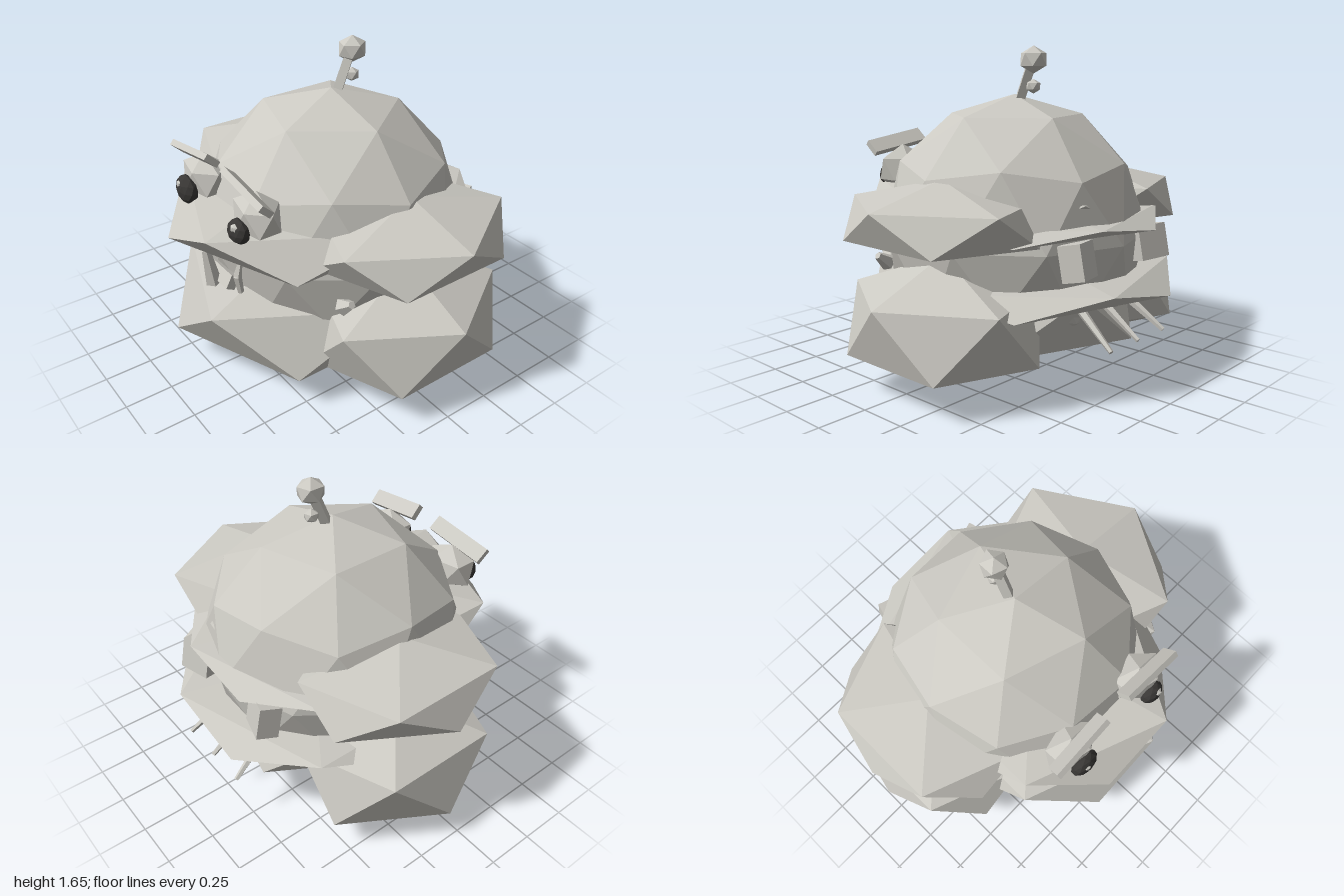
import * as THREE from 'three';

const clay = new THREE.MeshStandardMaterial({ color: 0xcbc9c2, flatShading: true });
clay.name = 'warm grey';
const dark = new THREE.MeshStandardMaterial({ color: 0x393735, flatShading: true });
dark.name = 'pupil black';

export function createModel() {
  const model = new THREE.Group();

  const add = (name, geometry, pos, material = clay, rot = [0, 0, 0]) => {
    const mesh = new THREE.Mesh(geometry, material);
    mesh.name = name;
    mesh.position.set(...pos);
    mesh.rotation.set(...rot);
    model.add(mesh);
    return mesh;
  };

  // Faceted ball with a vertex at the top and an upper ring corner towards +x
  const ball = (name, pos, [rx, ry, rz], detail = 0, material = clay) => {
    const g = new THREE.IcosahedronGeometry(1, detail);
    g.rotateX(-Math.atan((1 + Math.sqrt(5)) / 2));
    g.rotateY(Math.PI / 2);
    g.scale(rx / 0.8944, ry, rz / 0.8944);
    return add(name, g, pos, material);
  };

  // Tapered rod between two points
  const rod = (name, from, to, r0, r1, sides) => {
    const a = new THREE.Vector3(...from), b = new THREE.Vector3(...to);
    const mid = a.clone().add(b).multiplyScalar(0.5);
    const mesh = add(name, new THREE.CylinderGeometry(r1, r0, a.distanceTo(b), sides), mid.toArray());
    mesh.quaternion.setFromUnitVectors(new THREE.Vector3(0, 1, 0), b.sub(a).normalize());
    return mesh;
  };

  // Round body
  ball('body', [0, 0.71, -0.02], [0.626, 0.7, 0.626], 1);

  // Upper and lower jaws: a lip in front and a cheek on each side
  for (const [row, y, ry] of [['lower', 0.332, 0.332], ['upper', 0.833, 0.196]]) {
    ball(row + 'Lip', [0, y, 0.1], [0.65, ry, 0.78]);
    for (const s of [-1, 1]) ball(row + 'Cheek', [s * 0.565, y, -0.07], [0.435, ry, 0.52]);
  }

  // Flat rims at the back
  ball('lowerBackRim', [0, 0.485, -0.16], [0.77, 0.1, 0.716]);
  ball('upperBackRim', [0, 0.79, -0.16], [0.71, 0.066, 0.627]);

  // Blocks and spikes at the back
  for (const s of [-1, 1]) {
    add('backBlock', new THREE.BoxGeometry(0.17, 0.17, 0.11), [s * 0.285, 0.68, -0.665], clay, [0.2, s * 0.3, 0]);
  }
  for (const i of [-1, 0, 1]) {
    rod('backSpike', [i * 0.18, 0.42, -0.6], [i * 0.22, 0.265, -0.815], 0.024, 0.012, 5);
  }

  // Teeth: centre tooth, thin side teeth and a low bar
  rod('centreTooth', [0, 0.54, 0.71], [0, 0.74, 0.74], 0.042, 0.022, 5);
  for (const s of [-1, 1]) {
    rod('sideTooth', [s * 0.155, 0.54, 0.645], [s * 0.155, 0.64, 0.66], 0.016, 0.022, 5);
    rod('sideTooth', [s * 0.155, 0.64, 0.66], [s * 0.155, 0.73, 0.635], 0.022, 0.01, 5);
    rod('cheekTooth', [s * 0.57, 0.56, 0.33], [s * 0.64, 0.61, 0.33], 0.045, 0.02, 5);
  }
  add('toothBar', new THREE.BoxGeometry(0.235, 0.075, 0.05), [0, 0.58, 0.665], clay, [-0.5, 0, 0]);

  // Eyes, pupils, glints and brows
  for (const s of [-1, 1]) {
    ball('eye', [s * 0.245, 1.0, 0.585], [0.14, 0.13, 0.1]);
    const size = s < 0 ? 0.078 : 0.066;
    ball('pupil', [s * 0.25, 0.953, 0.69], [size * 0.93, size, 0.042], 1, dark);
    ball('glint', [s * 0.262, 0.985, 0.715], [0.022, 0.024, 0.02]);
    add('brow', new THREE.BoxGeometry(0.35, 0.033, 0.085), [s * 0.245, 1.14, 0.635], clay, [-0.75, s * 0.08, -s * 0.12]);
  }

  // Antenna leaning backwards
  rod('antennaStem', [0, 1.36, -0.05], [0, 1.56, -0.135], 0.032, 0.032, 4);
  ball('antennaBall', [0, 1.585, -0.15], [0.066, 0.07, 0.07]);
  ball('antennaBud', [0, 1.452, -0.15], [0.036, 0.037, 0.036]);

  return model;
}
